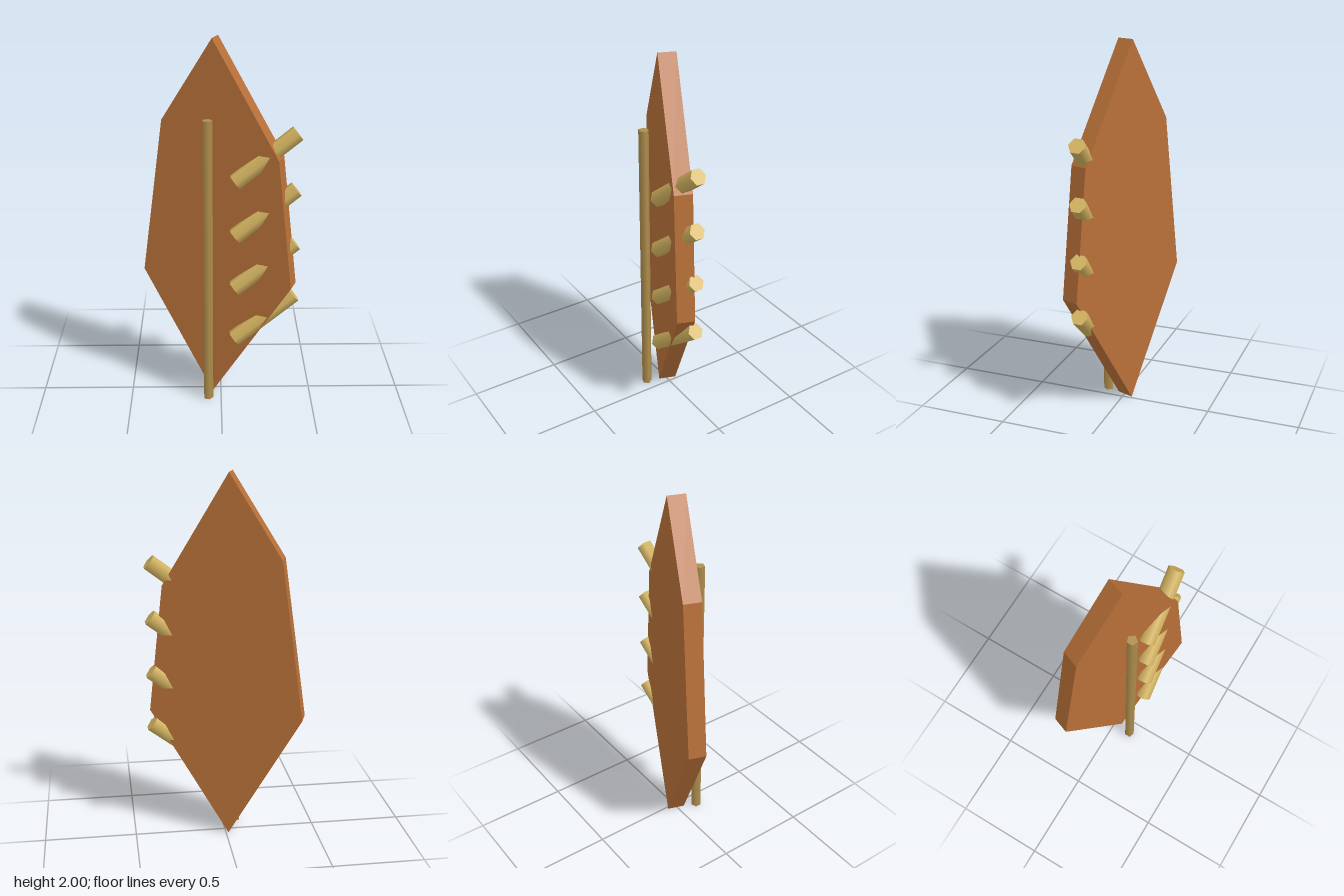
import * as THREE from 'three';

export function createModel() {
  const model = new THREE.Group();
  model.name = 'plankWithPegs';

  const rust = new THREE.MeshStandardMaterial({ name: 'rustBrown', color: 0xb87038 });
  const straw = new THREE.MeshStandardMaterial({ name: 'straw', color: 0xd4b460 });
  const bronze = new THREE.MeshStandardMaterial({ name: 'darkStraw', color: 0xb08f4e });

  // Six-sided pointed plank, turned 20 degrees about the vertical
  const outline = [[0, 0], [0.44, 0.7], [0.36, 1.4], [0, 2], [-0.28, 1.56], [-0.4, 0.7]];
  const thickness = 0.096;
  const plankShape = new THREE.Shape(outline.map(([x, y]) => new THREE.Vector2(x, y)));
  const plankGeometry = new THREE.ExtrudeGeometry(plankShape, { depth: thickness, bevelEnabled: false });
  plankGeometry.translate(0, 0, -thickness / 2);
  const plank = new THREE.Mesh(plankGeometry, rust);
  plank.name = 'plank';
  plank.position.set(-0.03, 0, -0.005);
  plank.rotation.y = -THREE.MathUtils.degToRad(20);
  model.add(plank);

  // Thin five-sided pole standing in front of the plank
  const pole = new THREE.Mesh(new THREE.CylinderGeometry(0.028, 0.028, 1.6, 5), bronze);
  pole.name = 'pole';
  pole.position.set(-0.072, 0.8, 0.11);
  pole.rotation.y = Math.PI / 2;
  model.add(pole);

  // Four slanted six-sided pegs passing through the plank
  const axis = new THREE.Vector3(0.32, 0.253, -0.025);
  const pegGeometry = new THREE.CylinderGeometry(0.045, 0.045, axis.length(), 6);
  const direction = axis.clone().normalize();
  for (let i = 0; i < 4; i++) {
    const peg = new THREE.Mesh(pegGeometry, straw);
    peg.name = `peg${i + 1}`;
    peg.position.set(0.231, 0.5 + i * 0.3, 0.103);
    peg.quaternion.setFromUnitVectors(new THREE.Vector3(0, 1, 0), direction);
    model.add(peg);
  }

  return model;
}
